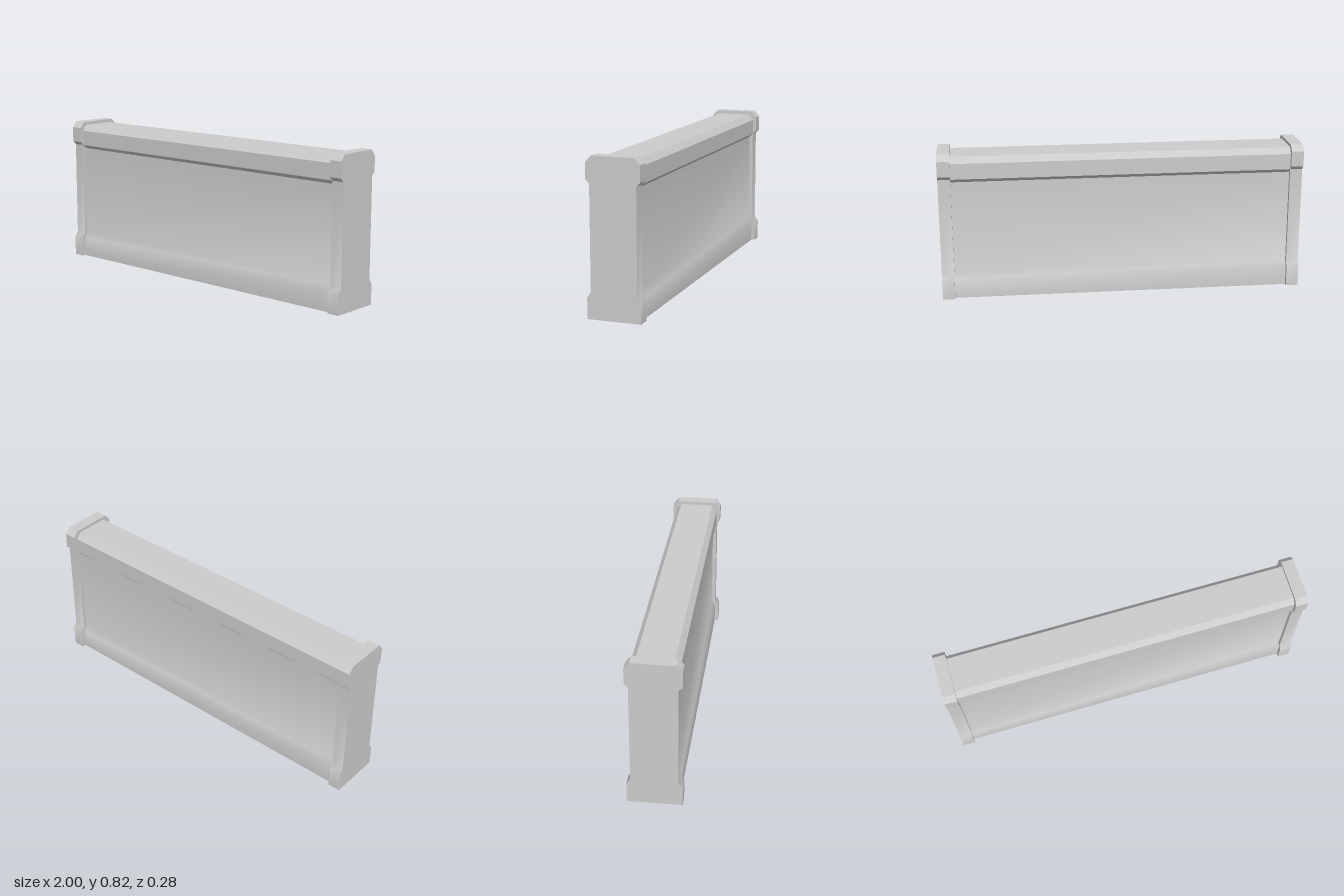
import * as THREE from 'three';
import { toCreasedNormals } from 'three/addons/utils/BufferGeometryUtils.js';

// Front half of each cross-section as [z, y], from the ground up
const BODY = [[0.1225, 0], [0.1225, 0.11], [0.1025, 0.14], [0.1025, 0.66], [0.1225, 0.68], [0.1225, 0.767], [0.095, 0.8]];
const CAP = [[0.1425, 0], [0.1425, 0.11], [0.1225, 0.14], [0.1225, 0.68], [0.1425, 0.7], [0.1425, 0.785], [0.113, 0.818]];
const INNER = 0.932;

// Full section: up the front, over the top and down the back
const section = (half) => [...half, ...half.map(([z, y]) => [-z, y]).reverse()];

// Open-bottomed shell swept along x
function shell(half, x0, x1) {
  const pos = [];
  const pts = section(half);
  for (let i = 0; i < pts.length - 1; i++) {
    const [z0, y0] = pts[i];
    const [z1, y1] = pts[i + 1];
    pos.push(x0, y0, z0, x1, y0, z0, x1, y1, z1);
    pos.push(x0, y0, z0, x1, y1, z1, x0, y1, z1);
  }
  const geo = new THREE.BufferGeometry();
  geo.setAttribute('position', new THREE.Float32BufferAttribute(pos, 3));
  return toCreasedNormals(geo, THREE.MathUtils.degToRad(38));
}

// Flat plate in the z-y plane at x, facing along dir
function plate(pts, x, dir) {
  const shape = new THREE.Shape(pts.map(([z, y]) => new THREE.Vector2(z, y)));
  return new THREE.ShapeGeometry(shape).rotateY(dir * Math.PI / 2).translate(x, 0, 0);
}

export function createModel() {
  const group = new THREE.Group();
  const stone = new THREE.MeshStandardMaterial({ color: 0xcccccc, side: THREE.DoubleSide });
  stone.name = 'light grey';

  const add = (parent, name, geo) => {
    const mesh = new THREE.Mesh(geo, stone);
    mesh.name = name;
    parent.add(mesh);
  };

  // Long wall with coping and flared foot
  add(group, 'wall', shell(BODY, -INNER, INNER));

  // Larger end caps, each with an outer face and a stepped inner rim
  for (const s of [1, -1]) {
    const cap = new THREE.Group();
    cap.name = s > 0 ? 'leftEndCap' : 'rightEndCap';
    add(cap, 'capShell', shell(CAP, s > 0 ? INNER : -1, s > 0 ? 1 : -INNER));
    add(cap, 'capOuterFace', plate(section(CAP), s, s));
    add(cap, 'capInnerRim', plate([...section(CAP), ...section(BODY).reverse()], s * INNER, -s));
    group.add(cap);
  }
  return group;
}
